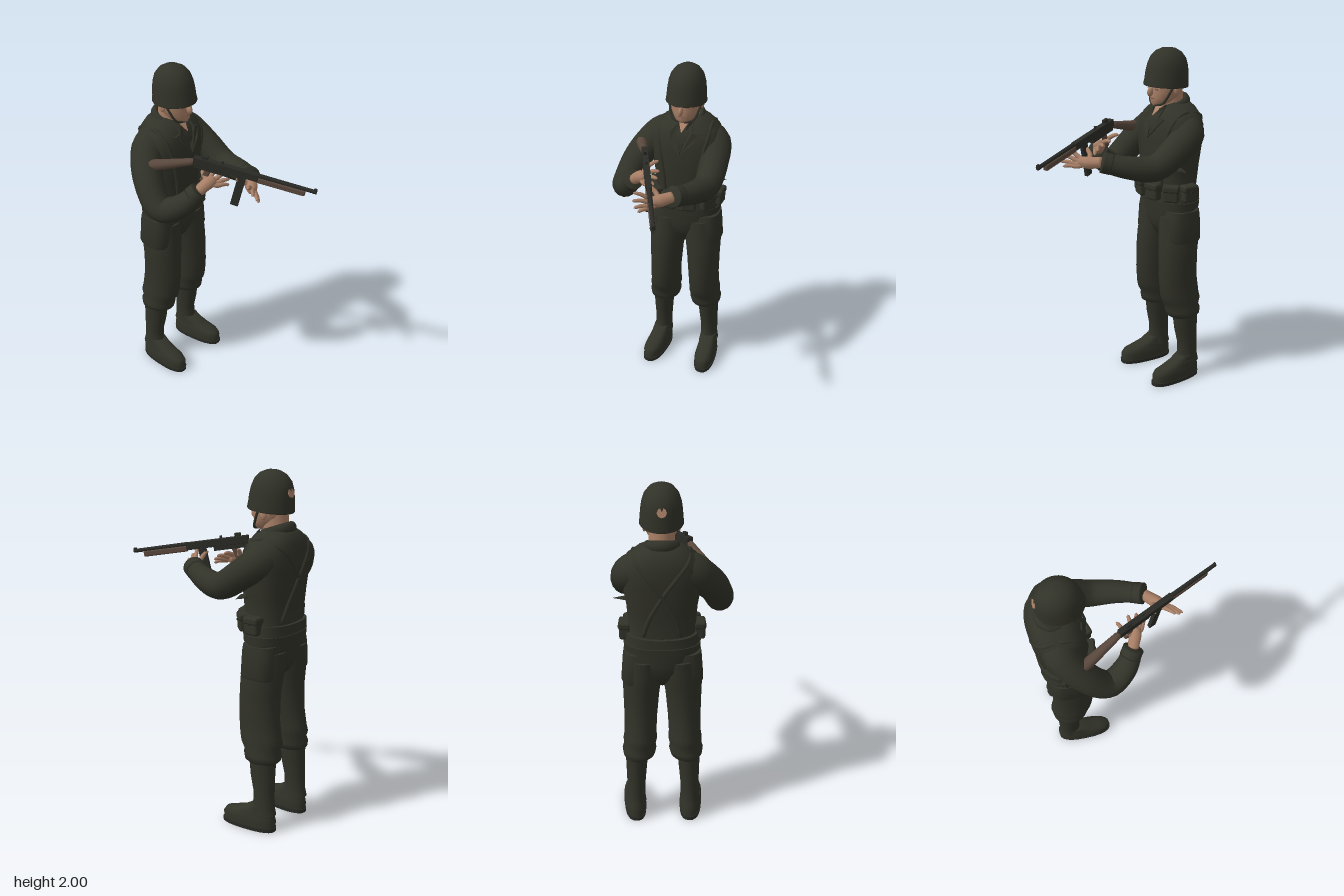
import * as THREE from 'three';
import { mergeVertices, toCreasedNormals } from 'three/addons/utils/BufferGeometryUtils.js';
import { RoundedBoxGeometry } from 'three/addons/geometries/RoundedBoxGeometry.js';

const CX = 0.06; // body centre line
const V = (p) => new THREE.Vector3(...p);
const pow = (v, k) => Math.sign(v) * Math.abs(v) ** k;

// Stack of horizontal ovals, bottom to top; rows are [y, centreX, centreZ, radiusX, radiusZ]
function loft(rows, k = 1, seg = 24) {
  const pos = [], idx = [];
  const all = [[...rows[0].slice(0, 3), 0.001, 0.001], ...rows, [...rows.at(-1).slice(0, 3), 0.001, 0.001]];
  all.forEach(([y, x, z, rx, rz], i) => {
    for (let j = 0; j < seg; j++) {
      const a = (j / seg) * Math.PI * 2;
      pos.push(x + rx * pow(Math.sin(a), k), y, z + rz * pow(Math.cos(a), k));
      if (i === all.length - 1) continue;
      const p = i * seg + j, q = i * seg + ((j + 1) % seg);
      idx.push(p, q, p + seg, q, q + seg, p + seg);
    }
  });
  const g = new THREE.BufferGeometry();
  g.setAttribute('position', new THREE.Float32BufferAttribute(pos, 3));
  g.setIndex(idx);
  return toCreasedNormals(g, 0.9);
}

// Tube with a varying radius; points are [x, y, z, radius]
function limb(points, rings = 24, sides = 12) {
  const curve = new THREE.CatmullRomCurve3(points.map((p) => V(p.slice(0, 3))));
  const g = new THREE.TubeGeometry(curve, rings, 1, sides);
  const pos = g.attributes.position, v = new THREE.Vector3();
  for (let i = 0; i <= rings; i++) {
    const c = curve.getPointAt(i / rings);
    const t = curve.getUtoTmapping(i / rings) * (points.length - 1);
    const n = Math.min(Math.floor(t), points.length - 2);
    const r = i % rings === 0 ? 0.0005 : THREE.MathUtils.lerp(points[n][3], points[n + 1][3], t - n);
    for (let j = 0; j <= sides; j++) {
      const k = i * (sides + 1) + j;
      v.fromBufferAttribute(pos, k).sub(c).multiplyScalar(r).add(c);
      pos.setXYZ(k, v.x, v.y, v.z);
    }
  }
  g.deleteAttribute('uv');
  g.deleteAttribute('normal');
  const m = mergeVertices(g, 1e-5);
  m.computeVertexNormals();
  return m;
}

const TORSO = [
  [1.1, CX, -0.385, 0.205, 0.135], [1.14, CX, -0.385, 0.203, 0.135], [1.2, CX, -0.38, 0.18, 0.13],
  [1.35, CX, -0.38, 0.19, 0.145], [1.5, CX, -0.385, 0.215, 0.15], [1.58, CX, -0.39, 0.213, 0.145],
  [1.63, CX, -0.395, 0.185, 0.13], [1.67, CX, -0.402, 0.135, 0.105], [1.7, CX, -0.405, 0.085, 0.07],
];
// Point on the jacket at a height and an angle from the front
function onTorso(y, deg) {
  let i = 0;
  while (i < TORSO.length - 2 && TORSO[i + 1][0] < y) i++;
  const A = TORSO[i], B = TORSO[i + 1], t = (y - A[0]) / (B[0] - A[0]);
  const [, x, z, rx, rz] = A.map((a, n) => a + (B[n] - a) * t);
  const a = THREE.MathUtils.degToRad(deg);
  return [x + rx * pow(Math.sin(a), 0.85), y, z + rz * pow(Math.cos(a), 0.85)];
}
// Thin plate laid on the chest; outline is [offset from centre, height]
function chestPlate(outline, lift) {
  const g = new THREE.ExtrudeGeometry(new THREE.Shape(outline.map(([x, y]) => new THREE.Vector2(CX + x, y))),
    { depth: 0.008, bevelEnabled: false });
  const p = g.attributes.position;
  for (let i = 0; i < p.count; i++) {
    p.setZ(i, p.getZ(i) + onTorso(p.getY(i), Math.abs(p.getX(i) - CX) * 330)[2] + lift);
  }
  g.computeVertexNormals();
  return g;
}

export function createModel() {
  const model = new THREE.Group();
  const mat = (name, color, side = THREE.FrontSide) => {
    const m = new THREE.MeshStandardMaterial({ color, side });
    m.name = name;
    return m;
  };
  const cloth = mat('olive cloth', 0x313228);
  const shell = mat('helmet green', 0x313228, THREE.DoubleSide);
  const skin = mat('skin', 0xa87f66);
  const wood = mat('brown wood', 0x5a483d);
  const steel = mat('dark steel', 0x2a2b26);
  const shade = mat('brow brown', 0x7c5a49);
  const add = (name, geo, m, parent = model) => {
    const mesh = new THREE.Mesh(geo, m);
    mesh.name = name;
    parent.add(mesh);
    return mesh;
  };
  const box = (name, size, at, m, parent, round = 0.002) => {
    const b = add(name, new RoundedBoxGeometry(...size, 2, round), m, parent);
    b.position.set(...at);
    return b;
  };

  // Jacket, belt, collar and the bare throat
  add('jacket', loft(TORSO, 0.85, 32), cloth);
  add('belt', loft([[1.145, CX, -0.385, 0.2, 0.143], [1.195, CX, -0.385, 0.194, 0.143]], 0.85, 32), cloth);
  add('jacketHem', loft([[1.095, CX, -0.385, 0.207, 0.137], [1.135, CX, -0.385, 0.209, 0.14]], 0.85, 32), cloth);
  const collar = add('collar', new THREE.TorusGeometry(0.077, 0.02, 8, 28, 4.7), cloth);
  collar.rotation.set(-Math.PI / 2 + 0.36, 0, -Math.PI / 2 + 0.79);
  collar.scale.set(1, 1, 1.5);
  collar.position.set(CX, 1.683, -0.4);
  add('throat', chestPlate([[0, 1.625], [0.04, 1.695], [-0.04, 1.695]], 0.004), skin);

  // Ammunition pouches round the front of the belt
  for (const deg of [-88, -52, -17, 17, 52, 88]) {
    const a = THREE.MathUtils.degToRad(deg);
    const pouch = new THREE.Group();
    pouch.name = 'pouch';
    box('pouchBody', [0.09, 0.095, 0.06], [0, 0, 0], cloth, pouch, 0.014);
    box('pouchFlap', [0.098, 0.042, 0.07], [0, 0.032, 0], cloth, pouch, 0.014);
    box('pouchStud', [0.012, 0.012, 0.008], [0, 0.015, 0.035], steel, pouch);
    pouch.position.set(CX + 0.2 * Math.sin(a), 1.195, -0.385 + 0.16 * Math.cos(a));
    pouch.rotation.y = Math.atan2(Math.sin(a) / 0.2, Math.cos(a) / 0.16);
    model.add(pouch);
  }

  for (const s of [-1, 1]) {
    // Shoulder harness: straight in front, crossing behind
    const strap = (name, list) =>
      add(name, limb(list.map(([y, d]) => {
        const [x, , z] = onTorso(y, d);
        return [CX + (x - CX) * 0.97, y - 0.004, -0.39 + (z + 0.39) * 0.97, 0.013];
      }), 28, 8), cloth);
    strap('frontStrap', [[1.2, s * 28], [1.35, s * 30], [1.5, s * 34], [1.6, s * 45], [1.65, s * 70], [1.66, s * 95]]);
    strap('backStrap', [[1.2, 180 + s * 32], [1.32, 180 + s * 18], [1.45, 180], [1.56, 180 - s * 18], [1.63, 180 - s * 45], [1.66, s * 95]]);

    // Lapels
    add('lapel', chestPlate([[0, 1.5], [0.065, 1.57], [0.1, 1.62], [0.062, 1.63], [0.055, 1.69], [0.03, 1.67]]
      .map(([x, y]) => [s * x, y]), 0.008), cloth);

    // Trouser leg, gaiter and boot
    const at = (rows) => rows.map(([y, x, z, rx, rz]) => [y, CX + s * x, z, rx, rz]);
    add('trouserLeg', loft(at([
      [0.405, 0.14, -0.41, 0.068, 0.088], [0.42, 0.134, -0.407, 0.09, 0.106], [0.45, 0.132, -0.405, 0.096, 0.11],
      [0.475, 0.13, -0.4, 0.089, 0.106], [0.51, 0.127, -0.395, 0.095, 0.124], [0.55, 0.125, -0.385, 0.09, 0.126],
      [0.65, 0.122, -0.373, 0.092, 0.122], [0.8, 0.117, -0.372, 0.1, 0.12], [0.88, 0.112, -0.378, 0.107, 0.122],
      [0.95, 0.103, -0.384, 0.106, 0.122], [1.04, 0.098, -0.388, 0.104, 0.12],
    ])), cloth);
    add('gaiter', loft(at([
      [0.1, 0.155, -0.43, 0.058, 0.078], [0.14, 0.155, -0.432, 0.052, 0.066], [0.22, 0.153, -0.432, 0.052, 0.062],
      [0.32, 0.15, -0.42, 0.058, 0.073], [0.42, 0.147, -0.415, 0.064, 0.08],
    ])), cloth);
    const boot = new THREE.Group();
    boot.name = 'boot';
    add('bootUpper', loft([
      [0.015, 0, 0.085, 0.06, 0.164], [0.06, 0, 0.085, 0.062, 0.165], [0.083, 0, 0.08, 0.057, 0.155],
      [0.1, 0, 0.055, 0.052, 0.125], [0.118, 0, 0.025, 0.052, 0.095], [0.15, 0, 0, 0.05, 0.066],
    ], 0.8), cloth, boot);
    add('bootSole', loft([[0, 0, 0.086, 0.062, 0.168], [0.022, 0, 0.086, 0.064, 0.169]], 0.8), steel, boot);
    add('bootStrap', loft([[0.105, 0, 0.025, 0.057, 0.098], [0.118, 0, 0.02, 0.056, 0.092]]), cloth, boot);
    boot.position.set(CX + s * 0.157, 0, -0.425);
    boot.rotation.y = s * 0.08;
    model.add(boot);

    // Thigh pocket hugging the outside of the leg
    add('thighPocket', loft(at([
      [0.895, 0.13, -0.385, 0.09, 0.1], [0.91, 0.127, -0.385, 0.098, 0.106], [1.04, 0.113, -0.385, 0.102, 0.106],
      [1.08, 0.11, -0.385, 0.1, 0.1],
    ]), 0.7), cloth);

    // Face details and chin strap
    const ear = add('ear', new THREE.SphereGeometry(0.025, 10, 8), skin);
    ear.scale.set(0.4, 1.1, 0.8);
    ear.position.set(CX + s * 0.09, 1.775, -0.36);
    box('eye', [0.024, 0.007, 0.008], [CX + s * 0.036, 1.782, -0.256], shade);
    box('brow', [0.036, 0.006, 0.009], [CX + s * 0.036, 1.8, -0.252], shade).rotation.z = -s * 0.1;
    add('chinStrap', limb([
      [CX + s * 0.095, 1.82, -0.34, 0.007], [CX + s * 0.087, 1.76, -0.31, 0.007],
      [CX + s * 0.06, 1.7, -0.28, 0.007], [CX, 1.687, -0.264, 0.007],
    ], 16, 6), cloth);
  }
  add('trouserSeat', loft([[0.865, CX, -0.385, 0.02, 0.04], [0.92, CX, -0.386, 0.08, 0.092],
    [0.98, CX, -0.387, 0.18, 0.116], [1.03, CX, -0.387, 0.203, 0.122], [1.11, CX, -0.385, 0.2, 0.127]]), cloth);

  // Head
  add('neck', loft([[1.6, CX, -0.39, 0.07, 0.075], [1.78, CX, -0.375, 0.068, 0.07]]), skin);
  add('head', loft([
    [1.685, CX, -0.295, 0.03, 0.035], [1.7, CX, -0.315, 0.054, 0.064], [1.73, CX, -0.335, 0.075, 0.085],
    [1.76, CX, -0.343, 0.086, 0.095], [1.79, CX, -0.345, 0.09, 0.094], [1.85, CX, -0.345, 0.092, 0.1],
  ]), skin);
  const nose = add('nose', new THREE.SphereGeometry(0.016, 12, 10), skin);
  nose.scale.set(0.85, 1.7, 1.3);
  nose.position.set(CX, 1.765, -0.24);
  nose.rotation.x = -0.3;
  box('mouth', [0.04, 0.006, 0.008], [CX, 1.727, -0.253], shade);

  // Helmet with a plain patch at the back
  const profile = [[1.0, 1.785], [1.02, 1.79], [0.985, 1.82], [0.965, 1.86], [0.91, 1.905], [0.8, 1.945], [0.58, 1.978], [0.3, 1.996], [0, 2]];
  const helmet = add('helmet', new THREE.LatheGeometry(profile.map(([r, y]) => new THREE.Vector2(r, y - 1.79)), 32), shell);
  helmet.scale.set(0.114, 1, 0.132);
  helmet.position.set(CX, 1.795, -0.345);
  helmet.rotation.x = -0.08;
  const patch = add('helmetPatch', new THREE.CylinderGeometry(0.026, 0.026, 0.009, 8), skin);
  patch.rotation.x = Math.PI / 2 + 0.3;
  patch.position.set(CX, 1.89, -0.472);

  // Sleeves and cuffs
  add('leftSleeve', limb([
    [0.15, 1.575, -0.41, 0.09], [0.217, 1.535, -0.39, 0.097], [0.25, 1.455, -0.28, 0.084],
    [0.25, 1.38, -0.15, 0.076], [0.208, 1.395, 0, 0.064], [0.14, 1.43, 0.13, 0.052],
  ], 32, 16), cloth);
  add('leftCuff', limb([[0.172, 1.413, 0.075, 0.058], [0.137, 1.432, 0.135, 0.06]], 8, 16), cloth);
  box('cuffTab', [0.025, 0.035, 0.04], [0.188, 1.435, 0.115], cloth, model, 0.006).rotation.y = -0.5;
  add('rightSleeve', limb([
    [-0.03, 1.575, -0.41, 0.09], [-0.105, 1.54, -0.405, 0.098], [-0.213, 1.42, -0.32, 0.086],
    [-0.257, 1.29, -0.19, 0.076], [-0.212, 1.33, -0.085, 0.067], [-0.14, 1.415, -0.015, 0.052],
  ], 32, 16), cloth);
  add('rightCuff', limb([[-0.175, 1.375, -0.05, 0.058], [-0.135, 1.42, -0.01, 0.058]], 8, 16), cloth);
  const fold = add('sleeveFold', new THREE.ConeGeometry(0.03, 0.1, 4), cloth);
  fold.rotation.z = -Math.PI / 2;
  fold.scale.set(0.5, 1, 1.4);
  fold.position.set(0.277, 1.345, -0.31);

  // Hands: a palm and five fingers from each knuckle to its tip
  const hand = (name, wrist, palm, fingers) => {
    const g = new THREE.Group();
    g.name = name;
    add('palm', limb([[...wrist, 0.03], [...palm, 0.036], [...fingers[2][0], 0.026]], 14, 10), skin, g);
    for (const [a, b] of fingers) {
      const mid = a.map((v, i) => (v + b[i]) / 2 + (i === 1 ? 0.006 : 0));
      add('finger', limb([[...palm, 0.016], [...a, 0.014], [...mid, 0.012], [...b, 0.008]], 14, 8), skin, g);
    }
    model.add(g);
  };
  hand('leftHand', [0.145, 1.428, 0.12], [0.08, 1.42, 0.18], [
    [[0.05, 1.45, 0.15], [-0.015, 1.49, 0.145]], [[0.03, 1.44, 0.205], [-0.045, 1.485, 0.25]],
    [[0.035, 1.425, 0.22], [-0.04, 1.45, 0.28]], [[0.04, 1.41, 0.235], [-0.025, 1.42, 0.3]],
    [[0.05, 1.4, 0.235], [-0.005, 1.395, 0.295]],
  ]);
  hand('rightHand', [-0.145, 1.41, -0.02], [-0.085, 1.455, 0.01], [
    [[-0.07, 1.49, -0.04], [-0.01, 1.525, -0.075]], [[-0.05, 1.48, 0], [0.02, 1.5, 0]],
    [[-0.045, 1.465, 0.025], [0.025, 1.48, 0.05]], [[-0.05, 1.45, 0.04], [0.015, 1.455, 0.08]],
    [[-0.06, 1.44, 0.05], [0, 1.43, 0.09]],
  ]);

  // Gun, built along its own z with the muzzle forward
  const gun = new THREE.Group();
  gun.name = 'gun';
  box('receiver', [0.034, 0.042, 0.37], [0, -0.012, 0.185], steel, gun);
  box('triggerFrame', [0.026, 0.03, 0.2], [0, -0.042, 0.11], steel, gun);
  box('rearSight', [0.02, 0.022, 0.035], [0, 0.018, 0.06], steel, gun);
  box('bolt', [0.012, 0.02, 0.012], [0, 0.016, 0.16], steel, gun);
  box('handguard', [0.03, 0.034, 0.27], [0, -0.024, 0.5], wood, gun, 0.008);
  const barrel = add('barrel', new THREE.CylinderGeometry(0.011, 0.013, 0.33, 10), steel, gun);
  barrel.rotation.x = Math.PI / 2;
  barrel.position.set(0, 0, 0.53);
  box('frontSight', [0.016, 0.028, 0.018], [0, 0.004, 0.685], steel, gun);
  box('magazine', [0.022, 0.19, 0.045], [0, -0.13, 0.275], steel, gun).rotation.x = 0.06;
  box('pistolGrip', [0.024, 0.09, 0.035], [0, -0.09, 0.08], wood, gun, 0.008).rotation.x = 0.25;
  gun.position.set(-0.098, 1.588, -0.08);
  gun.lookAt(0.176, 1.47, 0.545);
  model.add(gun);
  add('stock', limb([[-0.092, 1.565, -0.07, 0.019], [-0.13, 1.542, -0.155, 0.024],
    [-0.17, 1.518, -0.245, 0.03], [-0.212, 1.495, -0.345, 0.036]], 16, 10), wood);

  return model;
}
